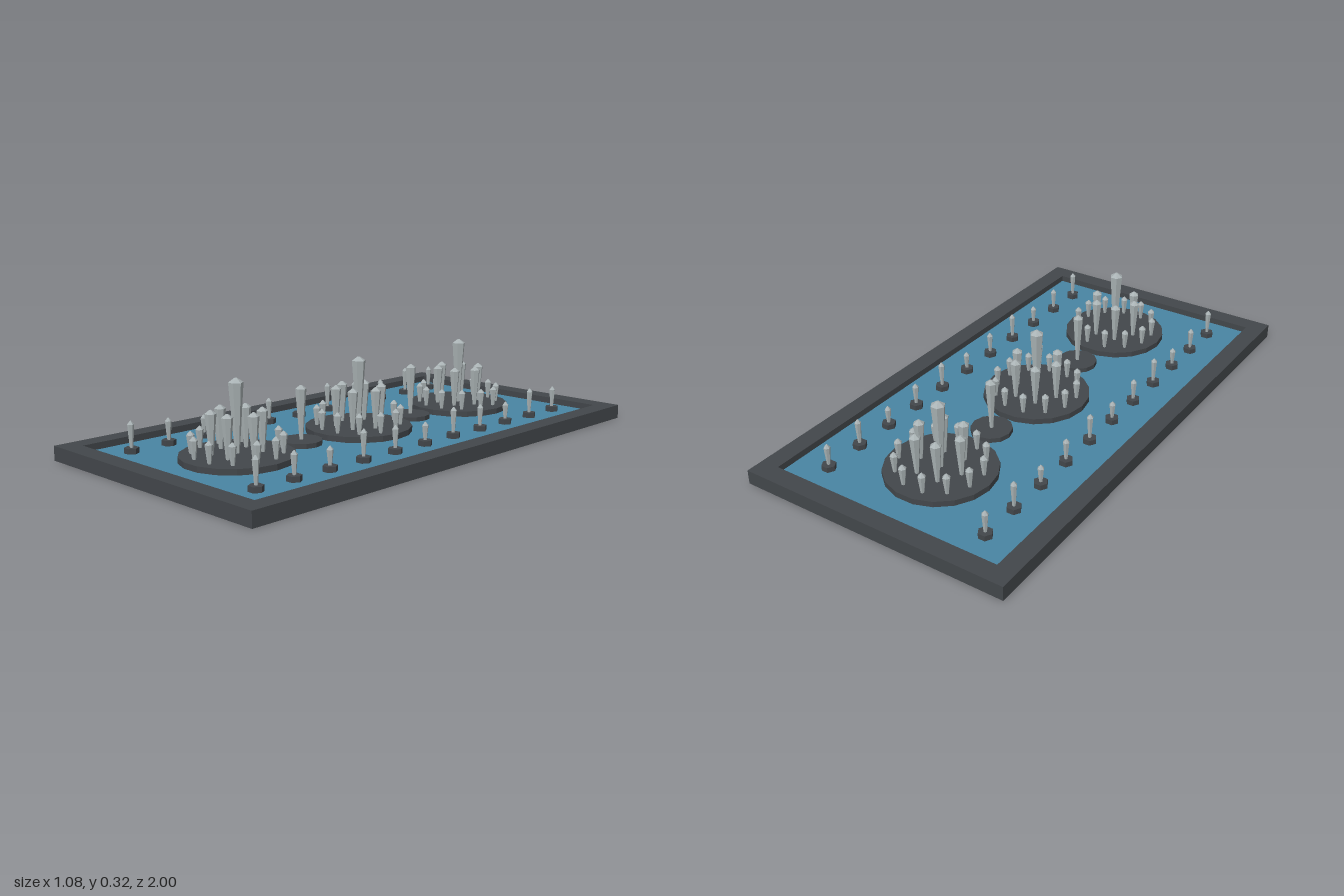
import * as THREE from 'three';

const stone = new THREE.MeshStandardMaterial({ color: 0x43474b, flatShading: true });
stone.name = 'dark stone';
const water = new THREE.MeshStandardMaterial({ color: 0x4985a3, flatShading: true });
water.name = 'pool water';
const spray = new THREE.MeshStandardMaterial({ color: 0xaab3b5, flatShading: true });
spray.name = 'pale spray';

const WATER_Y = 0.03;

function add(parent, name, geometry, material, x = 0, y = 0, z = 0) {
  const mesh = new THREE.Mesh(geometry, material);
  mesh.name = name;
  mesh.position.set(x, y, z);
  parent.add(mesh);
  return mesh;
}

// Flat prism whose first corner points along x
function prism(radius, y0, y1, sides) {
  return new THREE.CylinderGeometry(radius, radius, y1 - y0, sides)
    .rotateY(Math.PI / 2)
    .translate(0, (y0 + y1) / 2, 0);
}

// Flaring six-sided water jet with a shallow pointed cap
function jet(parent, name, x, z, top, radius, foot, cap = 0.013) {
  const profile = [
    [0, 0.045], [foot, 0.045], [radius, top - cap], [radius * 0.2, top], [0, top],
  ].map(([r, y]) => new THREE.Vector2(r, y));
  const geometry = new THREE.LatheGeometry(profile, 6).rotateY(Math.PI / 2);
  return add(parent, name, geometry, spray, x, 0, z);
}

// Ring of equal jets
function jetRing(parent, name, count, ringRadius, offset, top, radius, foot) {
  for (let i = 0; i < count; i++) {
    const a = offset + (i / count) * Math.PI * 2;
    jet(parent, name, Math.cos(a) * ringRadius, Math.sin(a) * ringRadius, top, radius, foot);
  }
}

function rectangle(target, halfX, halfZ) {
  target.moveTo(-halfX, -halfZ);
  target.lineTo(halfX, -halfZ);
  target.lineTo(halfX, halfZ);
  target.lineTo(-halfX, halfZ);
  target.closePath();
  return target;
}

export function createModel() {
  const model = new THREE.Group();
  model.name = 'fountainPool';

  // Rim around the basin
  const rim = rectangle(new THREE.Shape(), 0.54, 1);
  rim.holes.push(rectangle(new THREE.Path(), 0.467, 0.927));
  const rimGeometry = new THREE.ExtrudeGeometry(rim, { depth: 0.055, bevelEnabled: false });
  add(model, 'basinRim', rimGeometry.rotateX(-Math.PI / 2), stone);

  // Water slab and the drain foot beneath it
  add(model, 'water', new THREE.BoxGeometry(0.934, WATER_Y - 0.014, 1.854), water,
    0, (WATER_Y + 0.014) / 2, 0);
  add(model, 'drainFoot', prism(0.062, 0.008, 0.02, 10), stone);

  // Three large round platforms, each with a tall jet and two rings
  for (const z of [-0.605, 0, 0.605]) {
    const cluster = new THREE.Group();
    cluster.name = 'fountainCluster';
    cluster.position.z = z;
    add(cluster, 'platform', prism(0.207, 0.02, 0.052, 18), stone);
    jet(cluster, 'centreJet', 0, 0, 0.318, 0.027, 0.008, 0.015);
    jetRing(cluster, 'innerJet', 6, 0.09, 0, 0.211, 0.021, 0.007);
    jetRing(cluster, 'outerJet', 12, 0.161, Math.PI / 12, 0.131, 0.015, 0.006);
    model.add(cluster);
  }

  // Small platforms between the clusters
  for (const z of [-0.302, 0.302]) {
    add(model, 'smallPlatform', prism(0.079, 0.02, 0.048, 12), stone, 0, 0, z);
    jet(model, 'singleJet', 0, z, 0.25, 0.021, 0.007);
  }

  // Rows of nozzles along both long sides, in three repeating heights
  const heights = [0.147, 0.132, 0.117];
  for (const side of [-1, 1]) {
    for (let i = 0; i < 11; i++) {
      const z = 0.81 - i * 0.162;
      add(model, 'nozzleBase', prism(0.027, 0.02, 0.05, 6), stone, side * 0.338, 0, z);
      jet(model, 'sideJet', side * 0.338, z, heights[i % 3], 0.0125, 0.006);
    }
  }
  return model;
}
